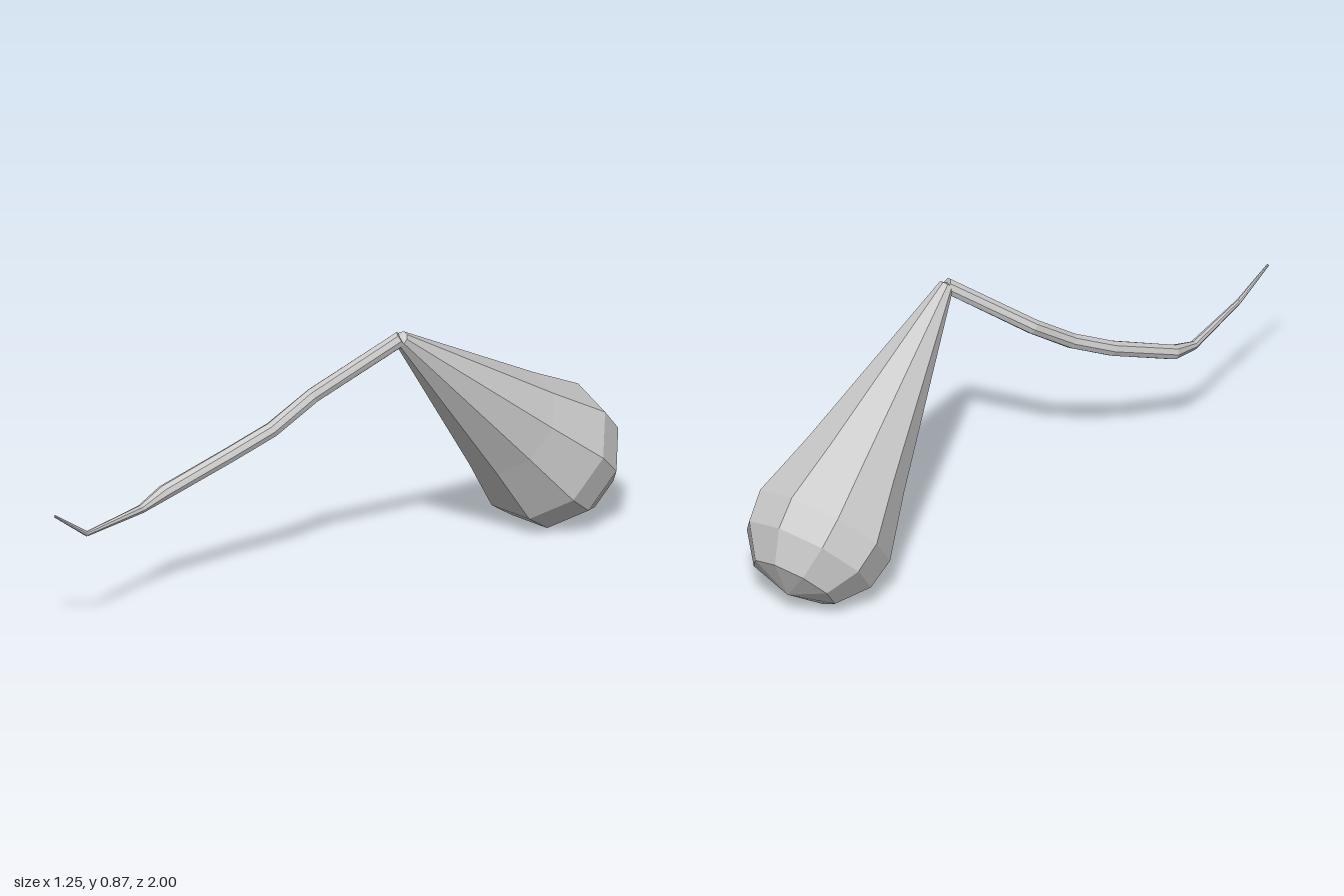
import * as THREE from 'three';

const material = new THREE.MeshStandardMaterial({ color: 0xcccccc, flatShading: true });

// Sweep of n-sided rings along a list of [x, y, z, radius], capped at both ends
function taperedTube(path, n) {
  const pts = path.map(p => new THREE.Vector3(p[0], p[1], p[2]));
  const up = new THREE.Vector3(0, 1, 0);
  const pos = [], index = [];
  pts.forEach((p, i) => {
    const into = p.clone().sub(pts[Math.max(i - 1, 0)]).normalize();
    const out = pts[Math.min(i + 1, pts.length - 1)].clone().sub(p).normalize();
    const t = into.add(out).normalize();
    const side = new THREE.Vector3().crossVectors(up, t).normalize();
    const top = new THREE.Vector3().crossVectors(t, side);
    for (let k = 0; k < n; k++) {
      const a = (k / n) * Math.PI * 2;
      const v = p.clone()
        .addScaledVector(side, Math.cos(a) * path[i][3])
        .addScaledVector(top, Math.sin(a) * path[i][3]);
      pos.push(v.x, v.y, v.z);
    }
  });
  const last = (pts.length - 1) * n;
  for (let i = 0; i < last; i += n) {
    for (let k = 0; k < n; k++) {
      const a = i + k, b = i + (k + 1) % n;
      index.push(a, b, b + n, a, b + n, a + n);
    }
  }
  for (let k = 1; k < n - 1; k++) {
    index.push(0, k + 1, k, last, last + k, last + k + 1);
  }
  const geo = new THREE.BufferGeometry();
  geo.setAttribute('position', new THREE.Float32BufferAttribute(pos, 3));
  geo.setIndex(index);
  geo.computeVertexNormals();
  return geo;
}

export function createModel() {
  const model = new THREE.Group();
  model.name = 'bentLimb';

  // Teardrop bulb: nine-sided lathe, narrow at the joint and domed at the far end
  const profile = [
    [0, -0.01], [0.026, 0], [0.19, 0.69], [0.253, 0.92],
    [0.237, 1.03], [0.155, 1.135], [0, 1.18],
  ].map(([r, y]) => new THREE.Vector2(r, y));
  const bulb = new THREE.Mesh(
    new THREE.LatheGeometry(profile, 9, THREE.MathUtils.degToRad(53)), material);
  bulb.name = 'bulb';
  const axis = new THREE.Vector3(0.23, -0.65, -0.72).normalize();
  const across = new THREE.Vector3(0.973, 0.154, 0.17);
  const over = new THREE.Vector3().crossVectors(across, axis).normalize();
  across.crossVectors(axis, over);
  bulb.quaternion.setFromRotationMatrix(new THREE.Matrix4().makeBasis(across, axis, over));
  bulb.position.set(0.155, 0.86, -0.07);
  model.add(bulb);

  // Thin curved stalk, tapering to an upturned tip
  const stalk = new THREE.Mesh(taperedTube([
    [0.155, 0.86, -0.07, 0.027],
    [-0.10, 0.665, 0.075, 0.027],
    [-0.20, 0.565, 0.185, 0.027],
    [-0.305, 0.495, 0.29, 0.027],
    [-0.46, 0.4, 0.48, 0.026],
    [-0.495, 0.372, 0.585, 0.015],
    [-0.553, 0.381, 0.885, 0.009],
    [-0.619, 0.473, 0.998, 0.004],
  ], 8), material);
  stalk.name = 'stalk';
  model.add(stalk);

  return model;
}
